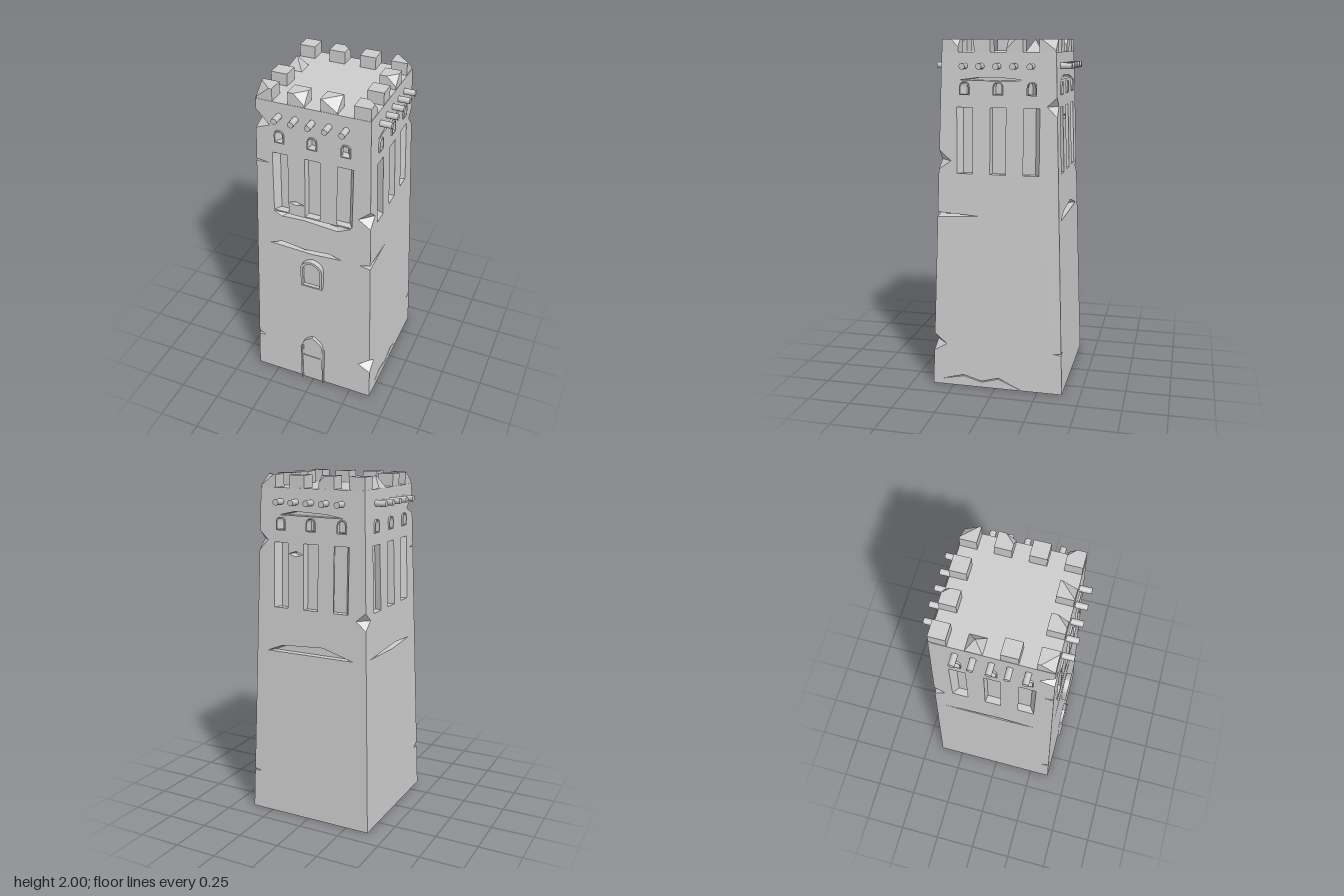
import * as THREE from 'three';
import { ConvexGeometry } from 'three/addons/geometries/ConvexGeometry.js';

const H = 1.93;            // roof height
const DEPTH = 0.04;        // depth of the recesses
const half = (y) => 0.385 - 0.065 * y / H;   // half width of the tapering tower
const mat = new THREE.MeshStandardMaterial({ color: 0xcccccc, flatShading: true });
const smooth = new THREE.MeshStandardMaterial({ color: 0xcccccc });

function add(parent, name, geo, material = mat) {
  const mesh = new THREE.Mesh(geo, material);
  mesh.name = name;
  parent.add(mesh);
  return mesh;
}

const poly = (pts) => new THREE.Path(pts.map(([x, y]) => new THREE.Vector2(x, y)));

// Arch outline: round when point = 0, ogival otherwise
function arch(cx, w, y0, spring, top, point = 0, Kind = THREE.Shape) {
  const s = new Kind(), k = w * 0.75;
  s.moveTo(cx - w, y0);
  s.lineTo(cx + w, y0);
  s.lineTo(cx + w, spring);
  s.quadraticCurveTo(cx + w, top - point, cx + (point ? 0 : w - k), top);
  if (!point) s.lineTo(cx - w + k, top);
  s.quadraticCurveTo(cx - w, top - point, cx - w, spring);
  s.closePath();
  return s;
}

// Broken corners: corner i joins face i to face i + 1; a and b are the cuts on each
const chips = [
  { corner: 0, y: 0.25, up: 0.06, down: 0.045, a: 0.075, b: 0.075 },
  { corner: 0, y: 1.02, up: 0.015, down: 0.012, a: 0.065, b: 0.24 },
  { corner: 0, y: 1.33, up: 0.06, down: 0.05, a: 0.07, b: 0.07 },
  { corner: 1, y: 0.24, up: 0.006, down: 0.006, a: 0.05, b: 0.05 },
  { corner: 1, y: 1.64, up: 0.05, down: 0.06, a: 0.055, b: 0.055 },
  { corner: 2, y: 1.23, up: 0.05, down: 0.05, a: 0.06, b: 0.06 },
  { corner: 3, y: 0.26, up: 0.025, down: 0.008, a: 0.05, b: 0.045 },
  { corner: 3, y: 1.56, up: 0.008, down: 0.006, a: 0.05, b: 0.08 },
  { corner: 3, y: 1.79, up: 0.08, down: 0.03, a: 0.08, b: 0.08 },
];

// Cracks of each face: front, right, back, left
const cracks = [
  [
    [[-0.27, 1.02], [0, 1.008], [0.18, 1.02], [0.1, 1.042], [-0.05, 1.03], [-0.19, 1.048]],
    [[-0.24, 1.252], [-0.19, 1.225], [-0.05, 1.232], [0.15, 1.215], [0.23, 1.252]],
    [[-0.142, 1.332], [-0.1, 1.32], [-0.05, 1.332], [-0.1, 1.343]],
  ],
  [
    [[-0.22, 1.779], [0, 1.775], [0.14, 1.779], [0.08, 1.79], [-0.1, 1.795]],
    [[-0.34, 0.03], [-0.2, 0.06], [-0.09, 0.03], [0.01, 0.058], [0.14, 0.005],
      [0.01, 0.065], [-0.09, 0.037], [-0.2, 0.067]],
  ],
  [
    [[-0.28, 1.0], [0.27, 1.0], [0.08, 1.055], [-0.18, 1.04]],
    [[-0.2, 1.782], [0.2, 1.778], [0.1, 1.795], [-0.1, 1.805]],
    [[-0.14, 1.57], [-0.095, 1.555], [-0.05, 1.57], [-0.095, 1.585]],
  ],
  [[[-0.3, 1.01], [0, 1.0], [0.25, 1.015], [0.05, 1.03]]],
];

// One wall with notched edges and recessed openings, bent to the taper and mitred
function wallGeometry(k) {
  const notch = (c, cut, s) => [
    [s * half(c.y - c.down), c.y - c.down],
    [s * (half(c.y) - cut), c.y],
    [s * half(c.y + c.up), c.y + c.up],
  ];
  const right = chips.filter((c) => c.corner === k).flatMap((c) => notch(c, c.a, 1));
  const left = chips.filter((c) => c.corner === (k + 3) % 4).flatMap((c) => notch(c, c.b, -1));
  const shape = new THREE.Shape([
    [-half(0), 0], [half(0), 0], ...right, [half(H), H], [-half(H), H], ...left.reverse(),
  ].map(([x, y]) => new THREE.Vector2(x, y)));
  for (const x of [-0.19, 0, 0.19]) {
    shape.holes.push(poly([[x - 0.045, 1.26], [x + 0.045, 1.26], [x + 0.045, 1.63], [x - 0.045, 1.63]]));
    shape.holes.push(arch(x, 0.023, 1.702, 1.735, 1.765, 0, THREE.Path));
  }
  for (const c of cracks[k]) shape.holes.push(poly(c));
  const geo = new THREE.ExtrudeGeometry(shape, { depth: DEPTH, bevelEnabled: false, curveSegments: 5 });
  const p = geo.attributes.position;
  for (let i = 0; i < p.count; i++) {
    const h = half(p.getY(i)), z = h - (DEPTH - p.getZ(i));
    p.setXYZ(i, p.getX(i) * z / h, p.getY(i), z);
  }
  geo.computeVertexNormals();
  return geo;
}

// The two slopes left where a corner has broken away
function chipGeometry({ y, up, down, a, b }) {
  const t = half(y + up), m = half(y), l = half(y - down);
  const A = [t, y + up, t], B = [l, y - down, l], C = [m - a, y, m], D = [m, y, m - b];
  const geo = new THREE.BufferGeometry();
  geo.setAttribute('position', new THREE.Float32BufferAttribute([A, C, D, C, B, D].flat(), 3));
  geo.computeVertexNormals();
  return geo;
}

// Extruded outline between two z positions
function slab(shape, z0, z1) {
  return new THREE.ExtrudeGeometry(shape, { depth: z1 - z0, bevelEnabled: false, curveSegments: 6 })
    .translate(0, 0, z0);
}

// Battlement block; one top corner (sx, sz) cut away by c
function merlonGeometry(sx, sz, c) {
  const r = 0.046, top = 2, pts = [];
  for (const x of [-1, 1]) for (const z of [-1, 1]) {
    pts.push(new THREE.Vector3(x * r, H - 0.01, z * r));
    if (c && x === sx && z === sz) {
      pts.push(new THREE.Vector3(x * (r - c), top, z * r), new THREE.Vector3(x * r, top, z * (r - c)),
        new THREE.Vector3(x * r, top - Math.min(c, 0.06), z * r));
    } else pts.push(new THREE.Vector3(x * r, top, z * r));
  }
  return new ConvexGeometry(pts);
}

export function createModel() {
  const model = new THREE.Group();
  model.name = 'tower';
  const tower = new THREE.Group();
  tower.name = 'towerBody';
  tower.position.set(-0.003, 0, -0.01);
  model.add(tower);

  // Solid core behind the recesses
  const r = (y) => (half(y) - DEPTH) * Math.SQRT2;
  add(tower, 'core', new THREE.CylinderGeometry(r(H), r(0), H, 4).rotateY(Math.PI / 4).translate(0, H / 2, 0));

  // Four sides with openings, window rims and beam ends
  for (let k = 0; k < 4; k++) {
    const side = new THREE.Group();
    side.name = ['frontSide', 'rightSide', 'backSide', 'leftSide'][k];
    side.rotation.y = k * Math.PI / 2;
    tower.add(side);
    add(side, 'wall', wallGeometry(k));
    for (const c of chips) if (c.corner === k) add(side, 'brokenCorner', chipGeometry(c));
    for (const x of [-0.19, 0, 0.19]) {
      const rim = arch(x, 0.028, 1.697, 1.735, 1.77);
      rim.holes.push(arch(x, 0.022, 1.703, 1.735, 1.764, 0, THREE.Path));
      add(side, 'windowRim', slab(rim, half(1.73) - 0.015, half(1.73) + 0.009));
    }
    for (let i = -2; i <= 2; i++) {
      const beam = new THREE.CylinderGeometry(0.017, 0.017, 0.1, 14).rotateX(Math.PI / 2);
      add(side, 'beamEnd', beam, smooth).position.set(i * 0.094, 1.855, 0.337);
    }
  }

  // Door with jambs and a pointed arch
  const doorArch = arch(0, 0.066, 0.2, 0.29, 0.37, 0.035);
  doorArch.holes.push(arch(0, 0.058, 0.205, 0.285, 0.358, 0.035, THREE.Path));
  add(tower, 'doorArch', slab(doorArch, 0.34, 0.394));
  for (const s of [-1, 1]) {
    add(tower, 'doorJamb', new THREE.BoxGeometry(0.009, 0.275, 0.06)).position.set(s * 0.071, 0.1375, 0.37);
  }
  add(tower, 'doorPanel', slab(arch(0, 0.067, 0, 0.285, 0.36, 0.035), 0.34, 0.389));

  // Framed window over the door
  const frame = arch(0, 0.066, 0.78, 0.91, 0.972, 0.015);
  frame.holes.push(arch(0, 0.053, 0.79, 0.905, 0.958, 0.015, THREE.Path));
  add(tower, 'windowFrame', slab(frame, 0.33, 0.383));
  add(tower, 'windowPanel', slab(arch(0, 0.055, 0.785, 0.905, 0.96, 0.015), 0.33, 0.364));

  // Battlements: column, row, then the damaged corner and its size
  const grid = [-0.272, -0.091, 0.091, 0.272];
  const merlons = [
    [0, 3, -1, 1, 0.075], [1, 3, 1, 1, 0.06], [2, 3, 1, 1, 0.085], [3, 3, 1, -1, 0.042],
    [0, 0, 1, 1, 0], [1, 0, 1, -1, 0.036], [2, 0, 1, 1, 0], [3, 0, 1, -1, 0.08],
    [3, 1, 1, 1, 0.053], [3, 2, 1, 1, 0], [0, 2, 1, 1, 0],
  ];
  for (const [i, j, sx, sz, c] of merlons) {
    add(tower, 'merlon', merlonGeometry(sx, sz, c)).position.set(grid[i], 0, grid[j]);
  }
  const worn = new THREE.ConeGeometry(0.046 * Math.SQRT2, 0.07, 4).rotateY(Math.PI / 4);
  add(tower, 'wornMerlon', worn).position.set(grid[0], H + 0.035, grid[1]);

  return model;
}
